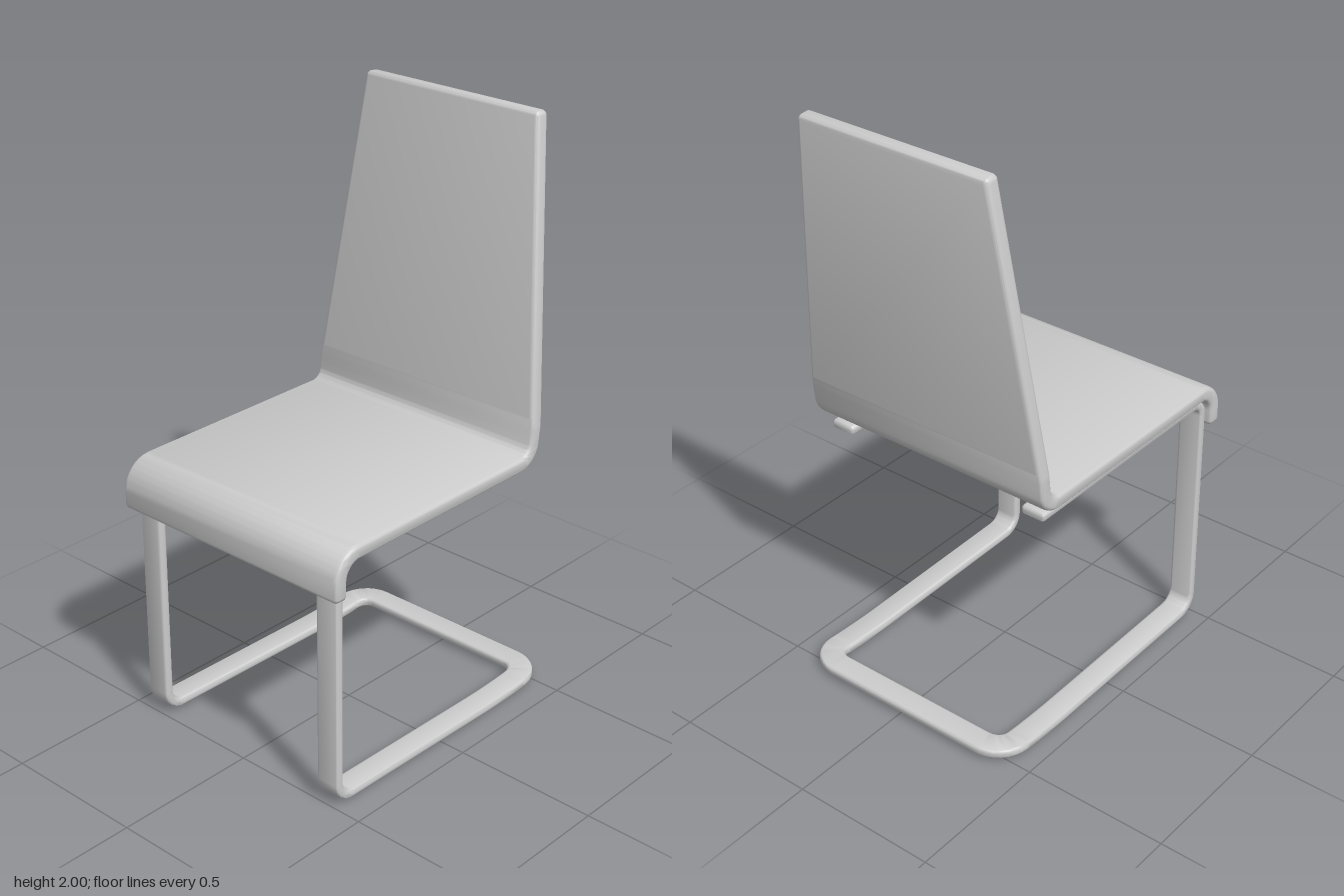
import * as THREE from 'three';
import { toCreasedNormals } from 'three/addons/utils/BufferGeometryUtils.js';

const V = (x, y, z) => new THREE.Vector3(x, y, z);

// Polyline with rounded corners; each entry is [x, y, z, cut length at the corner]
function roundedPath(corners, steps = 8) {
  const pts = corners.map(c => V(c[0], c[1], c[2]));
  const out = [pts[0]];
  for (let i = 1; i < pts.length - 1; i++) {
    const p = pts[i], cut = corners[i][3];
    const a = pts[i - 1].clone().sub(p).setLength(cut).add(p);
    const b = pts[i + 1].clone().sub(p).setLength(cut).add(p);
    const bend = new THREE.CubicBezierCurve3(a, a.clone().lerp(p, 0.55), b.clone().lerp(p, 0.55), b);
    out.push(...bend.getPoints(steps));
  }
  out.push(pts[pts.length - 1]);
  return out;
}

// Sweep a rounded rectangle along a path, with softened ends.
// halfWidth(p) and across(p, tangent) give the width and its direction.
function sweepSlab(path, halfWidth, halfThick, r, across) {
  const last = path.length - 1, arc = 4, rings = [];

  const addRing = (p, t, inset) => {
    const w = across(p, t), n = t.clone().cross(w).normalize();
    const rad = Math.max(r - inset, 0.0005);
    const x = halfWidth(p) - inset - rad, y = halfThick - inset - rad;
    const ring = [];
    [[1, 1], [-1, 1], [-1, -1], [1, -1]].forEach(([sx, sy], q) => {
      for (let k = 0; k <= arc; k++) {
        const a = (q + k / arc) * Math.PI / 2;
        ring.push(p.clone()
          .addScaledVector(w, sx * x + rad * Math.cos(a))
          .addScaledVector(n, sy * y + rad * Math.sin(a)));
      }
    });
    rings.push(ring);
  };

  const addEnd = (p, t, dir) => {
    for (let k = 0; k <= arc; k++) {
      const a = (dir > 0 ? arc - k : k) / arc * Math.PI / 2;
      addRing(p.clone().addScaledVector(t, dir * r * (1 - Math.sin(a))), t, r * (1 - Math.cos(a)));
    }
  };

  path.forEach((p, i) => {
    const t = V(0, 0, 0);
    if (i > 0) t.add(p.clone().sub(path[i - 1]).normalize());
    if (i < last) t.add(path[i + 1].clone().sub(p).normalize());
    t.normalize();
    if (i === 0) addEnd(p, t, 1);
    else if (i === last) addEnd(p, t, -1);
    else addRing(p, t, 0);
  });

  const m = rings[0].length, pos = [], idx = [];
  rings.forEach(ring => ring.forEach(v => pos.push(v.x, v.y, v.z)));
  for (let i = 0; i < rings.length - 1; i++) {
    for (let j = 0; j < m; j++) {
      const a = i * m + j, b = i * m + (j + 1) % m;
      idx.push(a, b, b + m, a, b + m, a + m);
    }
  }
  // Flat end faces
  const end = (rings.length - 1) * m;
  for (let j = 1; j < m - 1; j++) idx.push(0, j + 1, j, end, end + j, end + j + 1);

  const g = new THREE.BufferGeometry();
  g.setAttribute('position', new THREE.Float32BufferAttribute(pos, 3));
  g.setIndex(idx);
  return toCreasedNormals(g, 0.6);
}

export function createModel() {
  const group = new THREE.Group();
  const material = new THREE.MeshStandardMaterial({ color: 0xcccccc });
  const add = (name, geometry) => {
    const mesh = new THREE.Mesh(geometry, material);
    mesh.name = name;
    group.add(mesh);
    return mesh;
  };

  // One bent shell: front lip, flat seat and tapering backrest
  const shellPath = roundedPath([
    [0, 0.768, 0.527],
    [0, 0.907, 0.527, 0.08],
    [0, 0.907, -0.366, 0.055],
    [0, 1.02, -0.38, 0.03],
    [0, 2.0, -0.487],
  ]);
  const shellHalfWidth = p => p.y < 1.02 ? 0.459 : 0.459 - 0.11 * (p.y - 1.02) / 0.98;
  add('seatAndBackrest', sweepSlab(shellPath, shellHalfWidth, 0.026, 0.016, () => V(1, 0, 0)));

  // One flat bar: seat rail, front leg, floor loop, then the same mirrored
  const side = [
    [0.383, 0.864, -0.365],
    [0.383, 0.864, 0.487, 0.05],
    [0.383, 0.029, 0.487, 0.06],
    [0.383, 0.017, -0.32, 0.1],
    [0.383, 0.032, -0.512, 0.08],
  ];
  const mirrored = side.map(([x, ...rest]) => [-x, ...rest]).reverse();
  const barAcross = (p, t) => Math.abs(t.x) < 1e-4
    ? V(-Math.sign(p.x), 0, 0)
    : V(t.z, 0, -t.x).normalize();
  const frame = add('cantileverFrame',
    sweepSlab(roundedPath([...side, ...mirrored]), () => 0.043, 0.016, 0.011, barAcross));
  frame.position.x = -0.013;

  return group;
}
